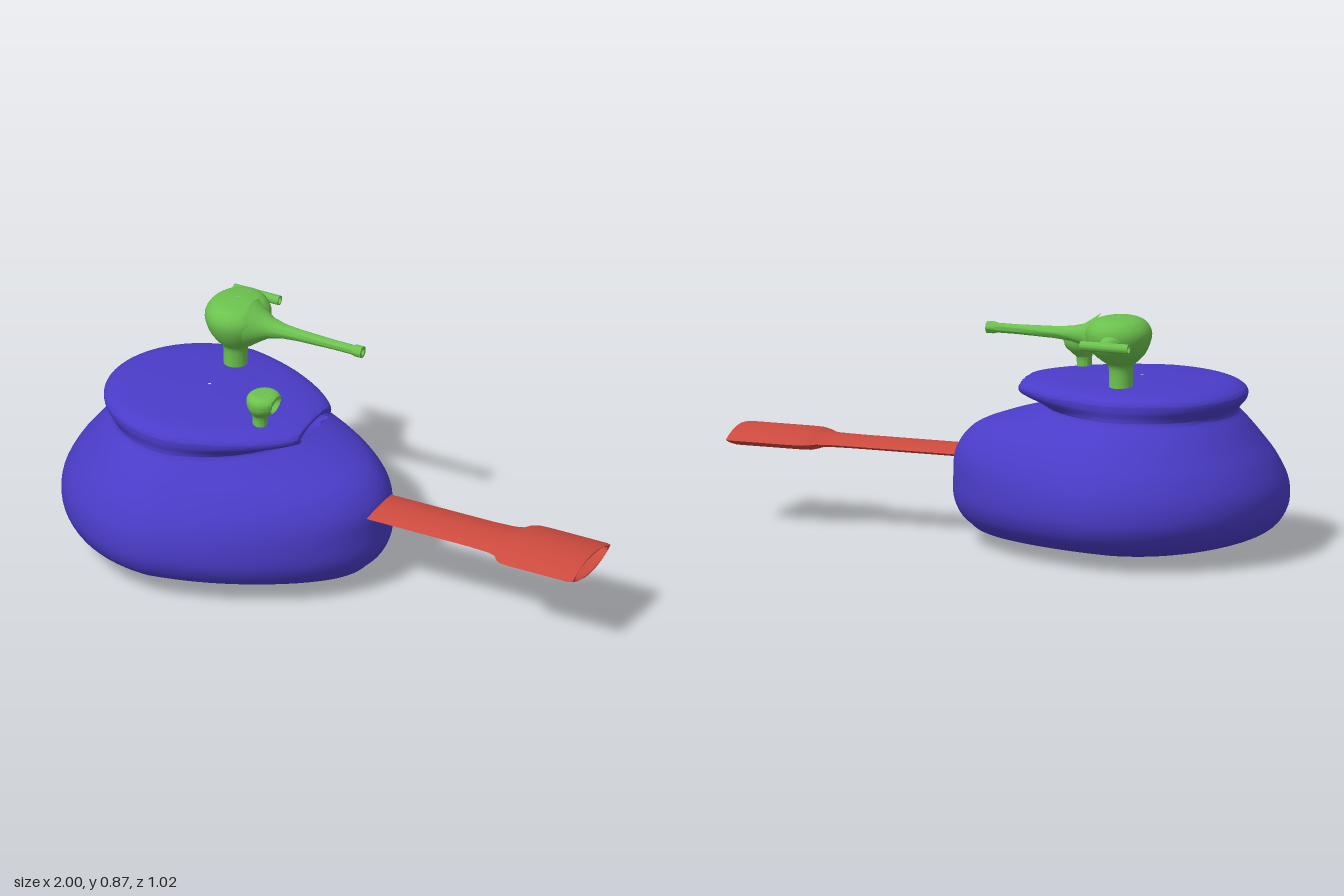
import * as THREE from 'three';
import { toCreasedNormals } from 'three/addons/utils/BufferGeometryUtils.js';

const BLUE = new THREE.MeshStandardMaterial({ color: 0x4a3cc8 });
const RED = new THREE.MeshStandardMaterial({ color: 0xcc4a3e });
const GREEN = new THREE.MeshStandardMaterial({ color: 0x6cc24e });

// Skin a list of closed rings, each an array of [x, y, z]
function loft(name, rings, material, crease = 0.8) {
  const n = rings[0].length;
  const index = [];
  for (let i = 0; i < rings.length - 1; i++) {
    for (let j = 0; j < n; j++) {
      const a = i * n + j, b = i * n + (j + 1) % n;
      index.push(a, a + n, b, b, a + n, b + n);
    }
  }
  const geo = new THREE.BufferGeometry();
  geo.setAttribute('position', new THREE.Float32BufferAttribute(rings.flat(2), 3));
  geo.setIndex(index);
  const mesh = new THREE.Mesh(toCreasedNormals(geo, crease), material);
  mesh.name = name;
  return mesh;
}

const ring = (n, fn) => Array.from({ length: n }, (_, j) => fn((j / n) * Math.PI * 2));

// Ring around the x axis: power 1 is an ellipse, 2 a lens with pointed sides
const xRing = (x, y, z, h, w, power = 1, n = 24) => ring(n, (a) => {
  const c = Math.cos(a);
  return [x, y + h * Math.sign(c) * Math.abs(c) ** power, z - w * Math.sin(a)];
});

// Press an oval dish into a surface that faces +x
function dish([x, y, z], y0, z0, h, w, depth) {
  const e = ((y - y0) / h) ** 2 + ((z - z0) / w) ** 2;
  return [e < 1 ? x - depth * Math.sqrt(1 - e) : x, y, z];
}

// Resample rows of four numbers along a smooth curve
function smoothRows(rows, steps) {
  const p = new THREE.SplineCurve(rows.map((r) => new THREE.Vector2(r[0], r[1])));
  const q = new THREE.SplineCurve(rows.map((r) => new THREE.Vector2(r[2], r[3])));
  const count = (rows.length - 1) * steps;
  return Array.from({ length: count + 1 }, (_, i) => {
    const a = p.getPoint(i / count), b = q.getPoint(i / count);
    return [a.x, a.y, b.x, b.y];
  });
}

// Teardrop hull with a raised top plate and a slot in the plate's nose
function makeHull() {
  const cx = -0.49;
  // height, back x, nose x, half width
  const rows = [
    [0.005, -0.5, -0.48, 0.005], [0.03, -0.74, 0.03, 0.27], [0.08, -0.92, 0.14, 0.44],
    [0.15, -0.99, 0.187, 0.503], [0.24, -1, 0.192, 0.51], [0.33, -0.96, 0.183, 0.48],
    [0.41, -0.9, 0.12, 0.425], [0.46, -0.86, 0, 0.38], [0.5, -0.825, -0.14, 0.338],
    [0.52, -0.835, -0.12, 0.332], [0.55, -0.86, -0.04, 0.338], [0.58, -0.855, -0.04, 0.333],
    [0.603, -0.8, -0.12, 0.28], [0.615, -0.65, -0.3, 0.15], [0.62, -0.495, -0.485, 0.005],
  ];
  const rings = smoothRows(rows, 6).map(([y, back, nose, w]) => ring(96, (a) => {
    const c = Math.cos(a), s = Math.sin(a);
    let x = c > 0 ? cx + (nose - cx) * c : cx + (cx - back) * c;
    const z = w * s * (1 - 0.2 * Math.max(c, 0));
    if (y < 0.51) return [x, y, z];
    x = Math.min(x, -0.08);
    return x > -0.16 ? dish([x, y, z], 0.557, 0, 0.027, 0.095, 0.06) : [x, y, z];
  }));
  return loft('hull', rings, BLUE, 1);
}

// Flat hollow barrel with a wider muzzle
function makeMainBarrel() {
  // x, half height, half width, power
  const rows = [
    [0.1, 0.021, 0.093, 2], [0.57, 0.021, 0.095, 2], [0.65, 0.022, 0.1, 2],
    [0.68, 0.024, 0.11, 2], [0.7, 0.031, 0.135, 2], [0.72, 0.036, 0.146, 2],
    [0.76, 0.037, 0.149, 2], [0.985, 0.037, 0.149, 2], [1, 0.034, 0.143, 2],
    [1, 0.029, 0.12, 1], [0.76, 0.027, 0.11, 1], [0.76, 0.001, 0.001, 1],
  ];
  return loft('mainBarrel', rows.map(([x, h, w, p]) => xRing(x, 0.307, 0, h, w, p, 40)), RED);
}

// Round rod along x with hollow ends
function makeRod(name, y, z, rows) {
  return loft(name, rows.map(([x, r]) => xRing(x, y, z, r, r)), GREEN);
}

// Round head on a neck with a thin barrel and a cross handle behind
function makeLargeGun() {
  const gun = new THREE.Group();
  gun.name = 'largeGun';
  // height, centre z, half width in x, half depth in z
  const rows = [
    [0.57, -0.184, 0.043, 0.046], [0.64, -0.183, 0.041, 0.043], [0.685, -0.184, 0.045, 0.047],
    [0.705, -0.19, 0.065, 0.067], [0.735, -0.198, 0.093, 0.096], [0.775, -0.202, 0.11, 0.118],
    [0.81, -0.203, 0.113, 0.122], [0.84, -0.205, 0.094, 0.108], [0.856, -0.208, 0.06, 0.075],
    [0.862, -0.208, 0.002, 0.002],
  ];
  const rings = smoothRows(rows, 3).map(([y, zc, rx, rz]) =>
    ring(32, (a) => [-0.485 + rx * Math.cos(a), y, zc + rz * Math.sin(a)]));
  gun.add(loft('gunHead', rings, GREEN, 1));
  gun.add(makeRod('gunBarrel', 0.785, -0.187, [
    [-0.42, 0.085], [-0.385, 0.06], [-0.35, 0.038], [-0.3, 0.026], [-0.24, 0.021],
    [-0.1, 0.017], [-0.03, 0.017], [-0.015, 0.021], [0.01, 0.021], [0.01, 0.012],
    [-0.04, 0.01], [-0.04, 0.001],
  ]));
  gun.add(makeRod('crossHandle', 0.782, -0.37, [
    [-0.57, 0.001], [-0.57, 0.011], [-0.588, 0.012], [-0.588, 0.017], [-0.41, 0.017],
    [-0.41, 0.012], [-0.43, 0.011], [-0.43, 0.001],
  ]));
  const profile = [[0.05, -0.03], [0.032, 0], [0.02, 0.025], [0.012, 0.06]];
  const stem = new THREE.Mesh(
    new THREE.LatheGeometry(profile.map(([r, y]) => new THREE.Vector2(r, y)), 20), GREEN);
  stem.name = 'handleStem';
  stem.rotation.x = -Math.PI / 2;
  stem.scale.x = 1.3;
  stem.position.set(-0.495, 0.785, -0.31);
  gun.add(stem);
  return gun;
}

// Small periscope-like pod with a dished face
function makeSmallPod() {
  // height, centre x, half width in x, half depth in z
  const rows = [
    [0.58, -0.222, 0.026, 0.026], [0.635, -0.222, 0.027, 0.027], [0.652, -0.217, 0.037, 0.038],
    [0.675, -0.21, 0.054, 0.055], [0.7, -0.208, 0.06, 0.061], [0.717, -0.207, 0.056, 0.057],
    [0.728, -0.206, 0.038, 0.042], [0.731, -0.206, 0.002, 0.002],
  ];
  const rings = smoothRows(rows, 6).map(([y, xc, rx, rz]) => ring(56, (a) => {
    const x = Math.min(xc + rx * Math.cos(a), -0.158);
    const p = [x, y, 0.135 + rz * Math.sin(a)];
    return x > -0.2 ? dish(p, 0.69, 0.135, 0.024, 0.032, 0.045) : p;
  }));
  return loft('smallPod', rings, GREEN, 1);
}

export function createModel() {
  const model = new THREE.Group();
  model.name = 'turret';
  model.add(makeHull(), makeMainBarrel(), makeLargeGun(), makeSmallPod());
  return model;
}
